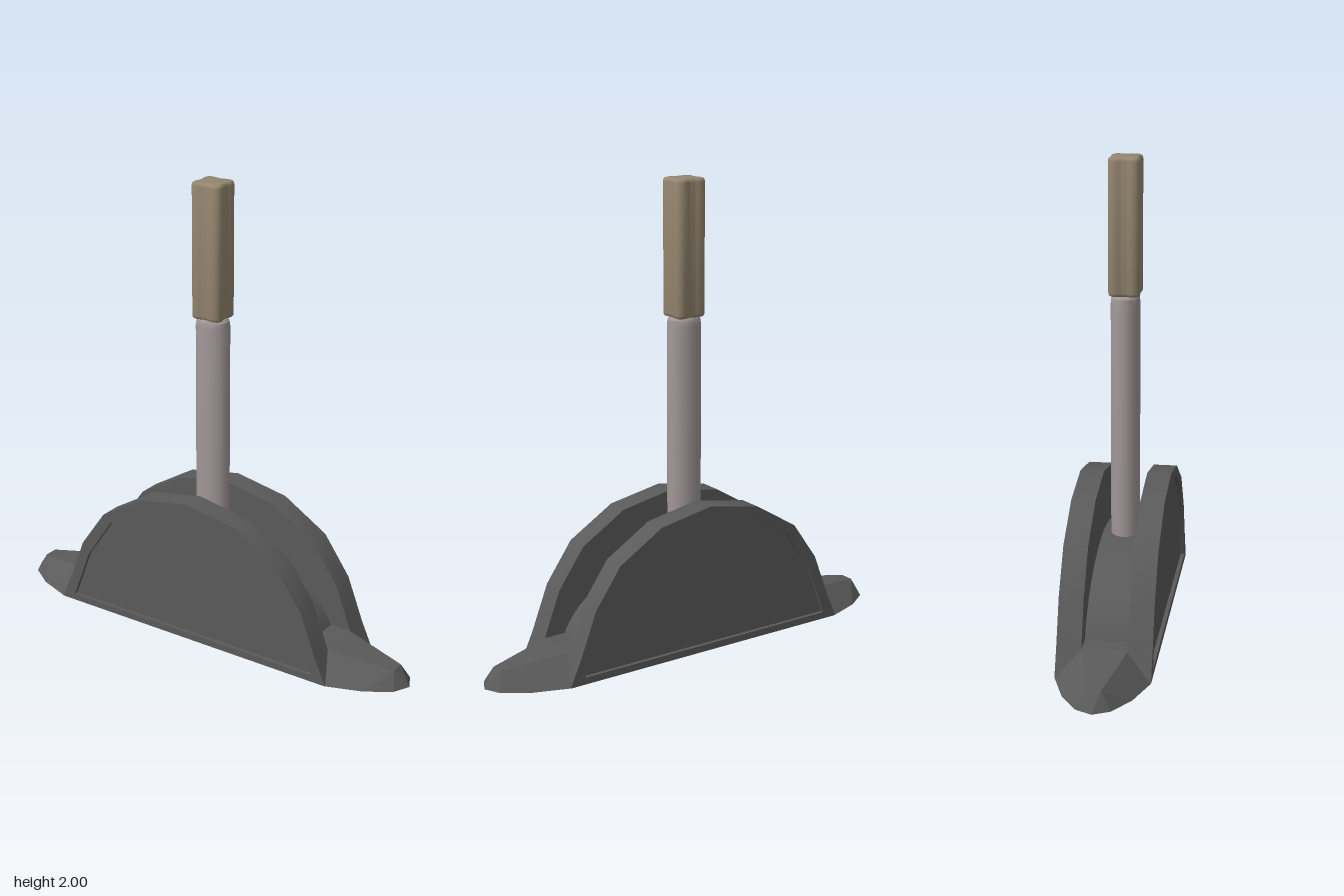
import * as THREE from 'three';
import { toCreasedNormals } from 'three/addons/utils/BufferGeometryUtils.js';
import { ConvexGeometry } from 'three/addons/geometries/ConvexGeometry.js';

const DARK = 0x5a5a5a, STEEL = 0x9f9595, GRIP = 0x94866f;

function part(name, geometry, color, flatShading = false) {
  const mesh = new THREE.Mesh(geometry, new THREE.MeshStandardMaterial({ color, flatShading }));
  mesh.name = name;
  return mesh;
}

// Mirrors a half outline (right side up to the middle) into a closed outline.
function mirrored(half) {
  const left = half.filter(([x]) => x > 0).reverse().map(([x, y]) => [-x, y]);
  return [...half, ...left].map(([x, y]) => new THREE.Vector2(x, y));
}

function slab(shape, z0, z1) {
  const g = new THREE.ExtrudeGeometry(shape, { depth: z1 - z0, bevelEnabled: false });
  return g.translate(0, 0, z0);
}

export function createModel() {
  const model = new THREE.Group();
  model.name = 'lever';

  // Base: boat-shaped foot with sloping sides and a narrow flat top
  const bottom = [[0.69, 0.195], [0.845, 0.14], [0.95, 0.07], [0.985, 0]];
  const top = [[0.64, 0.11, 0.095], [0.925, 0.073, 0.03]];
  const points = [];
  for (const sx of [-1, 1]) for (const sz of [-1, 1]) {
    for (const [x, z] of bottom) points.push(new THREE.Vector3(sx * x, 0, sz * z));
    for (const [x, y, z] of top) points.push(new THREE.Vector3(sx * x, y, sz * z));
  }
  model.add(part('base', new ConvexGeometry(points), DARK, true));

  // Two arched side plates, each with a recessed outer panel inside a rim
  const outer = mirrored([[0.695, 0], [0.645, 0.11], [0.57, 0.305], [0.45, 0.475], [0.245, 0.6], [0, 0.645]]);
  const inner = mirrored([[0.625, 0.03], [0.54, 0.255], [0.41, 0.445], [0.22, 0.567], [0, 0.612]]);
  const rim = new THREE.Shape(outer);
  rim.holes.push(new THREE.Path(inner));
  for (const [name, turn] of [['frontSidePlate', 0], ['backSidePlate', Math.PI]]) {
    const plate = new THREE.Group();
    plate.name = name;
    plate.add(part('platePanel', toCreasedNormals(slab(new THREE.Shape(outer), 0.093, 0.178), 0.5), DARK));
    plate.add(part('plateRim', toCreasedNormals(slab(rim, 0.178, 0.195), 0.5), DARK));
    plate.rotation.y = turn;
    model.add(plate);
  }

  // Curved drum in the slot between the plates
  const drum = new THREE.Shape();
  drum.absellipse(0, 0.01, 0.57, 0.37, 0, Math.PI, false);
  const drumGeometry = new THREE.ExtrudeGeometry(drum, { depth: 0.188, bevelEnabled: false, curveSegments: 24 });
  drumGeometry.translate(0, 0, -0.094);
  model.add(part('drum', toCreasedNormals(drumGeometry, 0.5), DARK));

  // Oval shaft with a rounded upper end
  const profile = [[0, 0.2], [0.076, 0.2], [0.076, 1.39], [0.072, 1.415], [0.062, 1.425], [0, 1.43]];
  const shaft = new THREE.LatheGeometry(profile.map(([r, y]) => new THREE.Vector2(r, y)), 20);
  shaft.scale(1, 1, 0.82);
  model.add(part('shaft', toCreasedNormals(shaft, 0.6), STEEL));

  // Four-lobed grip with softened ends
  const lobes = [];
  for (let i = 0; i < 48; i++) {
    const a = (i / 48) * Math.PI * 2;
    const r = 0.074 - 0.012 * Math.cos(4 * a);
    lobes.push(new THREE.Vector2(r * Math.cos(a) * 1.03, r * Math.sin(a) * 0.97));
  }
  const grip = new THREE.ExtrudeGeometry(new THREE.Shape(lobes), {
    depth: 0.545, bevelThickness: 0.015, bevelSize: 0.012, bevelOffset: -0.012, bevelSegments: 3,
  });
  grip.rotateX(-Math.PI / 2).translate(0, 1.44, 0);
  model.add(part('grip', toCreasedNormals(grip, 0.7), GRIP));

  return model;
}
